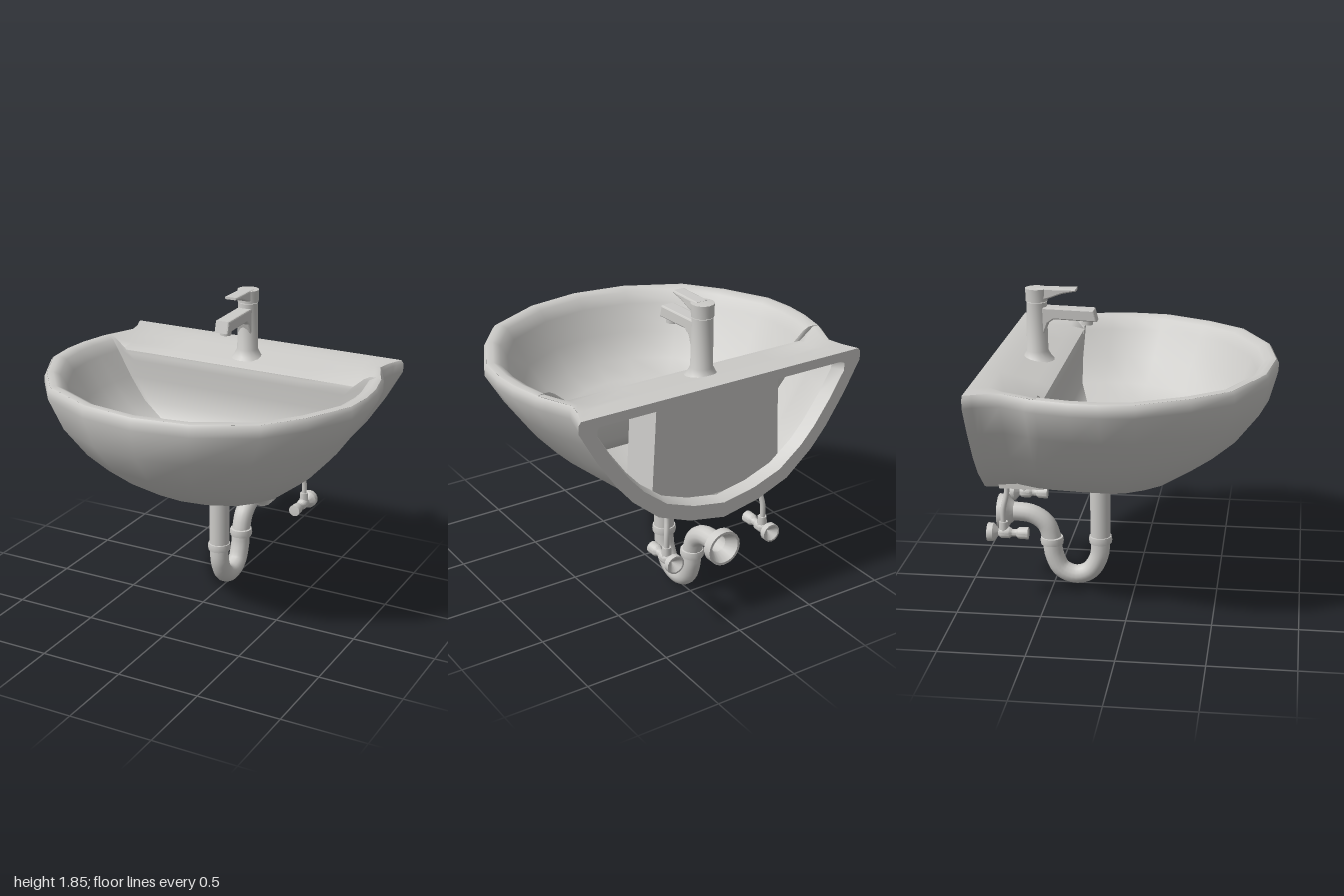
import * as THREE from 'three';
import { toCreasedNormals } from 'three/addons/utils/BufferGeometryUtils.js';

const ceramic = new THREE.MeshStandardMaterial({ color: 0xcccbc8, side: THREE.DoubleSide });
ceramic.name = 'pale grey ceramic';

const V = (x, y, z) => new THREE.Vector3(x, y, z);

function add(parent, name, geometry, x = 0, y = 0, z = 0) {
  const mesh = new THREE.Mesh(geometry, ceramic);
  mesh.name = name;
  mesh.position.set(x, y, z);
  parent.add(mesh);
  return mesh;
}

// Skin rows of equal length; closed joins the row ends
function loft(rows, closed = false, crease = 1) {
  const n = rows[0].length, index = [];
  for (let r = 0; r < rows.length - 1; r++) {
    for (let i = 0; i < (closed ? n : n - 1); i++) {
      const a = r * n + i, b = r * n + (i + 1) % n;
      index.push(a, b, a + n, b, b + n, a + n);
    }
  }
  const g = new THREE.BufferGeometry().setFromPoints(rows.flat());
  g.setIndex(index);
  return toCreasedNormals(g, crease);
}

// Revolved profile of [radius, height]; axis 'z' points the height to the back
function turned(profile, axis = 'y', sides = 16) {
  const g = new THREE.LatheGeometry(profile.map(p => new THREE.Vector2(...p)), sides);
  if (axis === 'z') g.rotateX(-Math.PI / 2);
  return toCreasedNormals(g, 0.7);
}

const tube = (points, radius, steps = 24, sides = 12) =>
  new THREE.TubeGeometry(new THREE.CatmullRomCurve3(points), steps, radius, sides);

// Half of the plan outline [x, z], from the front centre to the back corner
const bowlPlan = [[0, 0.83], [0.33, 0.78], [0.67, 0.61], [0.84, 0.39], [0.98, 0.11],
  [1, -0.08], [0.99, -0.24], [0.95, -0.42]];
const backPlan = [[0.935, -0.465], [0.925, -0.485], [0.86, -0.63], [0.885, -0.74],
  [0.895, -0.77], [0.92, -0.82]];
const mirrored = half => [...half.slice(1).reverse().map(([x, z]) => [-x, z]), ...half];
const pull = (z, front) => z > -0.1 ? -0.1 + (z + 0.1) * (front + 0.1) / 0.93 : z;

// Levels of the outer body: [height, width, front z]
const levels = [[1.47, 0.985, 0.815], [1.45, 1, 0.83], [1.4, 1, 0.83], [1.22, 0.89, 0.78], [1.04, 0.76, 0.64],
  [0.92, 0.65, 0.5], [0.78, 0.47, 0.27], [0.7, 0.25, 0.02], [0.655, 0, -0.1]];

// Levels of the inner bowl: [height, width, front z, back z, height of the sunken back]
const bowlLevels = [[1.47, 0.985, 0.815, -0.42, 1.4], [1.475, 0.95, 0.785, -0.42, 1.395],
  [1.455, 0.91, 0.745, -0.415, 1.38], [1.39, 0.87, 0.71, -0.415, 1.34], [1.23, 0.78, 0.645, -0.42, 1.23],
  [1.09, 0.67, 0.55, -0.41, 1.09], [1.01, 0.52, 0.42, -0.36, 1.01], [0.975, 0.06, -0.14, -0.24, 0.975]];

function buildBasin(group) {
  // Outer shell, with the underside recessed in front of the wall rim
  const plan = mirrored([...bowlPlan, ...backPlan]);
  add(group, 'outerShell', loft(levels.map(([y, w, f]) => plan.map(([x, z]) =>
    V(x * w, z < -0.47 && z > -0.76 ? Math.max(y, 0.77) : y, pull(z, f))))));

  // Rolled rim and the bowl's front and sides
  const sides = mirrored(bowlPlan);
  add(group, 'innerBowl', loft(bowlLevels.map(([y, w, f, b]) =>
    sides.map(([x, z]) => V(x * w, y, b + (z + 0.42) * (f - b) / 1.25)))));

  // Sunken tap deck running down into the bowl: [z, half width, edge height, middle height]
  const deck = [[-0.82, 0.906, 1.47, 1.47], [-0.71, 0.862, 1.47, 1.47], [-0.63, 0.847, 1.47, 1.445],
    [-0.5, 0.9, 1.47, 1.425],
    ...bowlLevels.map(([y, w, , b, middle]) => [b, 0.95 * w, y, middle])];
  const across = [-1, -0.96, -0.86, -0.5, -0.15, 0.15, 0.5, 0.86, 0.96, 1];
  add(group, 'tapDeck', loft(deck.map(([z, w, edge, middle]) => across.map(t =>
    V(t * w, Math.abs(t) > 0.9 ? edge : middle, z))), false, 1.2));

  // U-shaped frame against the wall, its opening turned inwards
  const half = levels.map(([y, w]) => [0.92 * w, y]);
  const outline = [...half, ...half.slice(0, -1).reverse().map(([x, y]) => [-x, y])];
  const ring = (sx, sy, z) => outline.map(([x, y]) => V(x * sx, 1.16 + (y - 1.16) * sy, z));
  add(group, 'wallFrame', loft([ring(1, 1, -0.82), ring(0.88, 0.82, -0.82), ring(0.85, 0.79, -0.74)], true));

  // Bracket block inside the hollow back
  const block = new THREE.Shape([[-0.43, 0.77], [0.43, 0.77], [0.4, 1.4], [-0.4, 1.4]]
    .map(p => new THREE.Vector2(...p)));
  add(group, 'backBlock', new THREE.ExtrudeGeometry(block, { depth: 0.26, bevelEnabled: false }), 0, 0, -0.74);

  // Hexagonal drain
  add(group, 'drainRing', turned([[0.05, 0.97], [0.1, 0.98], [0.1, 1.03], [0.075, 1.05], [0.05, 1.03], [0, 1.035]], 'y', 6), 0, 0, -0.21);
}

function buildTap(group) {
  add(group, 'tapBody', turned([[0.1, 1.425], [0.082, 1.445], [0.064, 1.48], [0.06, 1.77], [0, 1.775]]), 0, 0, -0.575);
  add(group, 'tapCap', turned([[0, 1.765], [0.064, 1.775], [0.066, 1.85], [0, 1.855]]), 0, 0, -0.575);

  // Side profiles [z, y] extruded across the width
  const bar = (name, profile, width) => {
    const shape = new THREE.Shape(profile.map(([z, y]) => new THREE.Vector2(-z, y)));
    const g = new THREE.ExtrudeGeometry(shape, { depth: width - 0.02, bevelThickness: 0.01,
      bevelSize: 0.008, bevelOffset: -0.008, bevelSegments: 2 });
    g.translate(0, 0, 0.01 - width / 2).rotateY(Math.PI / 2);
    add(group, name, g);
  };
  bar('spout', [[-0.57, 1.55], [-0.53, 1.58], [-0.505, 1.65], [-0.47, 1.675], [-0.22, 1.665], [-0.237, 1.735], [-0.57, 1.745]], 0.09);
  bar('lever', [[-0.57, 1.775], [-0.5, 1.795], [-0.42, 1.825], [-0.34, 1.84], [-0.34, 1.855], [-0.57, 1.855]], 0.08);
  add(group, 'aerator', new THREE.CylinderGeometry(0.034, 0.034, 0.04, 12), 0, 1.662, -0.28);
}

function buildWaste(group) {
  add(group, 'wasteNut', turned([[0.06, 0.65], [0.095, 0.66], [0.1, 0.685], [0, 0.69]]), 0, 0, -0.2);
  add(group, 'tailPipe', new THREE.CylinderGeometry(0.062, 0.062, 0.38, 16), 0, 0.48, -0.213);
  add(group, 'trapBend', tube([V(0, 0.32, -0.213), V(0, 0.19, -0.222), V(0, 0.09, -0.28), V(0, 0.06, -0.365),
    V(0, 0.095, -0.455), V(0, 0.19, -0.5), V(0, 0.3, -0.515), V(0, 0.39, -0.55), V(0, 0.445, -0.63),
    V(0, 0.457, -0.72), V(0, 0.457, -0.78)], 0.058, 36, 14));
  const collar = [[0.055, -0.025], [0.068, -0.022], [0.072, 0], [0.068, 0.022], [0.055, 0.025]];
  add(group, 'tailCollar', turned(collar), 0, 0.3, -0.213);
  add(group, 'trapCollar', turned(collar), 0, 0.28, -0.512);
  add(group, 'wallFlange', turned([[0.058, -0.06], [0.08, -0.035], [0.105, -0.02], [0.105, 0.035], [0.09, 0.035], [0.05, -0.03]], 'z', 20), 0, 0.457, -0.8);
}

function buildValve(side) {
  const valve = new THREE.Group();
  valve.name = side > 0 ? 'leftValve' : 'rightValve';
  const x = 0.33 * side;
  add(valve, 'supplyHose', tube([V(0.31 * side, 0.8, -0.72), V(0.315 * side, 0.7, -0.72),
    V(0.33 * side, 0.6, -0.74), V(x, 0.46, -0.74)], 0.016, 12, 8));
  add(valve, 'hoseNut', new THREE.CylinderGeometry(0.026, 0.03, 0.06, 8), x, 0.495, -0.74);
  add(valve, 'valveBody', turned([[0, 0], [0.036, 0.004], [0.034, 0.06], [0.022, 0.075], [0.022, 0.1], [0.034, 0.115],
    [0.034, 0.165], [0.022, 0.18], [0.055, 0.21], [0.055, 0.245], [0.045, 0.245], [0, 0.2]], 'z', 14), x, 0.455, -0.59);
  return valve;
}

export function createModel() {
  const model = new THREE.Group();
  model.name = 'washbasin';
  for (const [name, build] of [['basin', buildBasin], ['tap', buildTap], ['wastePipe', buildWaste]]) {
    const group = new THREE.Group();
    group.name = name;
    build(group);
    model.add(group);
  }
  for (const side of [1, -1]) model.add(buildValve(side));
  return model;
}
